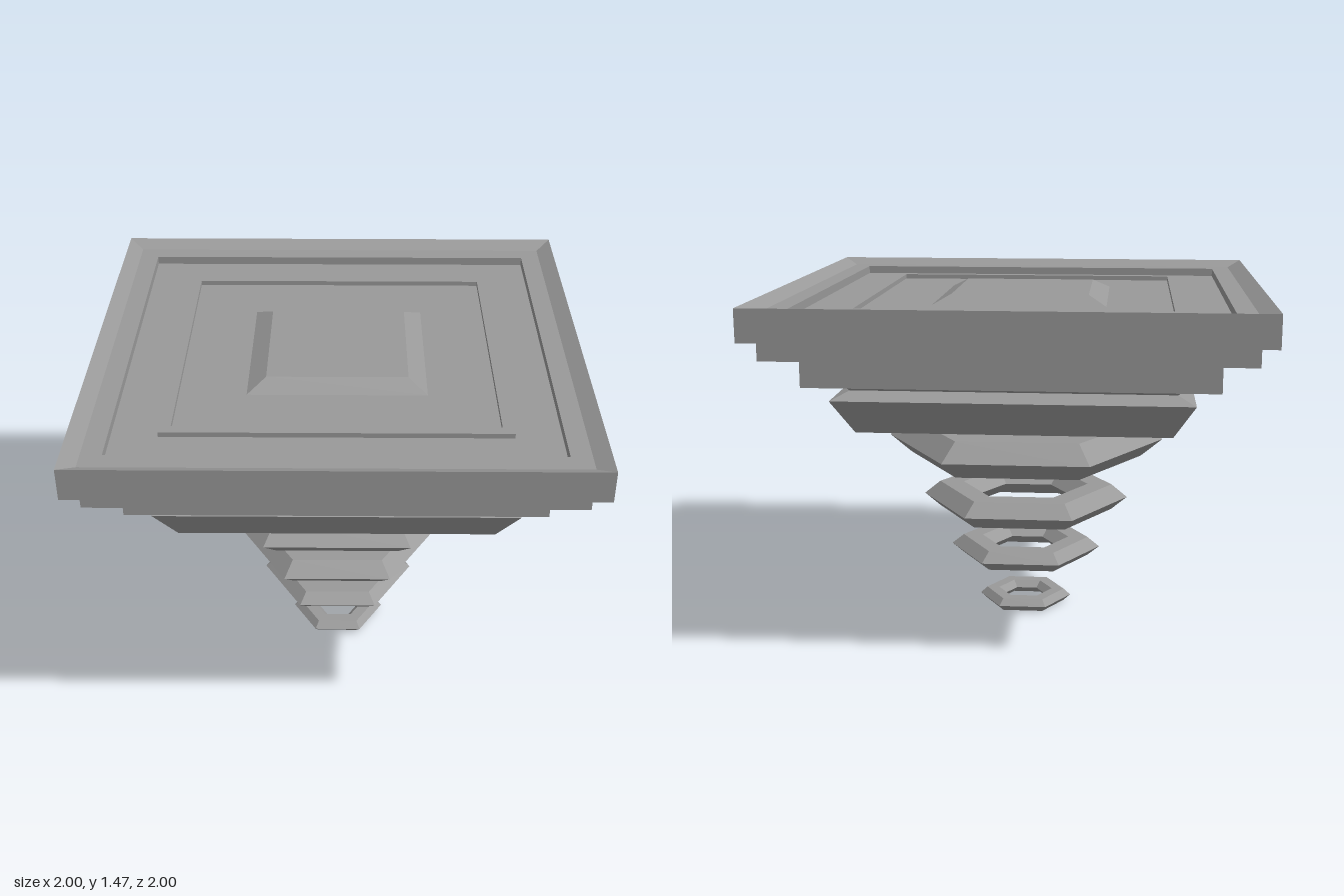
import * as THREE from 'three';

const stone = new THREE.MeshStandardMaterial({ color: 0x999999 });
stone.name = 'stoneGrey';

// Revolves [radius, height] points into a flat-faced prism form with the given side count
function facetedLathe(points, sides, start, scale = 1) {
  const profile = points.map(([r, y]) => new THREE.Vector2(r * scale, y));
  const geo = new THREE.LatheGeometry(profile, sides, start).toNonIndexed();
  geo.computeVertexNormals();
  return geo;
}

function addPart(group, name, geometry) {
  const mesh = new THREE.Mesh(geometry, stone);
  mesh.name = name;
  group.add(mesh);
  return mesh;
}

const rect = (Type, x, z, half) => {
  const p = new Type();
  p.moveTo(x - half, z - half);
  p.lineTo(x + half, z - half);
  p.lineTo(x + half, z + half);
  p.lineTo(x - half, z + half);
  p.closePath();
  return p;
};

export function createModel() {
  const model = new THREE.Group();
  model.name = 'floatingPlatform';

  // Stepped square platform: half widths from the lower rim, up the sides, into the dished top
  const platform = [
    [0.635, 0.92], [0.72, 1.063], [0.65, 1.095], [0.69, 1.133],
    [0.81, 1.133], [0.81, 1.257], [0.938, 1.257], [0.938, 1.335],
    [1, 1.335], [1, 1.465],
    [0.937, 1.435], [0.855, 1.435], [0.855, 1.4],
    [0.675, 1.4], [0.675, 1.42], [0.63, 1.42], [0.63, 1.4],
    [0.36, 1.4], [0.285, 1.44], [0, 1.44],
  ];
  addPart(model, 'steppedPlatform', facetedLathe(platform, 4, Math.PI / 4, Math.SQRT2));

  // Underside panel with pairs of square recesses along each edge
  const panel = rect(THREE.Shape, 0, 0, 0.635);
  for (const a of [-0.42, 0.42]) {
    for (const b of [-0.2, 0.2]) {
      panel.holes.push(rect(THREE.Path, a, b, 0.1), rect(THREE.Path, b, a, 0.1));
    }
  }
  const panelGeo = new THREE.ExtrudeGeometry(panel, { depth: 0.08, bevelEnabled: false });
  panelGeo.rotateX(Math.PI / 2);
  addPart(model, 'undersidePanel', panelGeo).position.y = 1.0;
  const backing = addPart(model, 'recessBacking', new THREE.BoxGeometry(1.27, 0.02, 1.27));
  backing.position.y = 1.01;

  // Hexagonal bevelled rings shrinking downward: outer, outer flat, inner flat, inner, bottom, top
  const rings = [
    [0.61, 0.515, 0.35, 0.25, 0.69, 0.845],
    [0.457, 0.387, 0.28, 0.21, 0.44, 0.555],
    [0.335, 0.282, 0.195, 0.14, 0.22, 0.305],
    [0.205, 0.175, 0.12, 0.09, 0, 0.055],
  ];
  rings.forEach(([outer, outFlat, inFlat, inner, low, high], i) => {
    const mid = (low + high) / 2;
    const section = [
      [inFlat, low], [outFlat, low], [outer, mid],
      [outFlat, high], [inFlat, high], [inner, mid], [inFlat, low],
    ];
    addPart(model, `hexRing${i + 1}`, facetedLathe(section, 6, Math.PI / 2));
  });

  return model;
}
